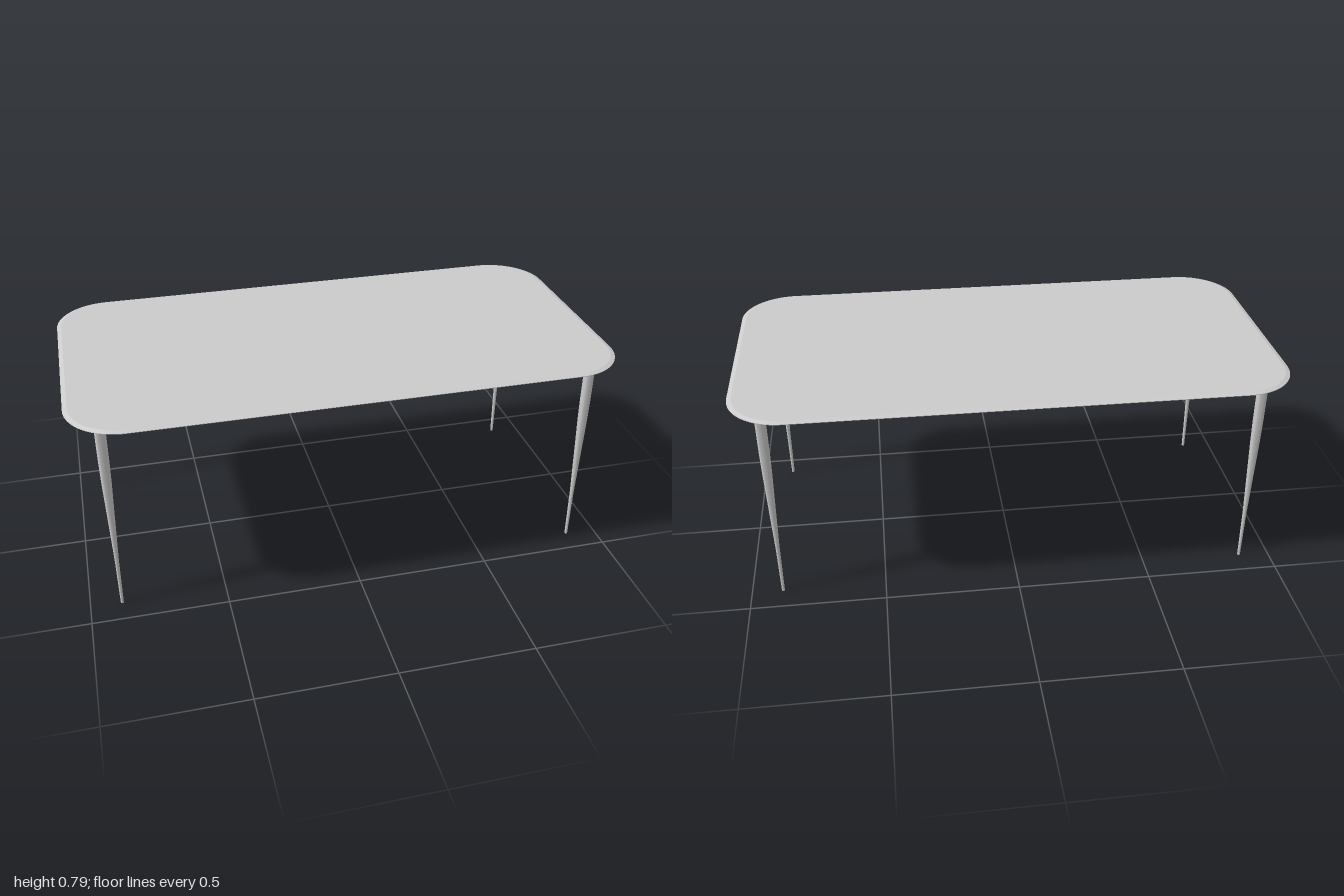
import * as THREE from 'three';
import { toCreasedNormals } from 'three/addons/utils/BufferGeometryUtils.js';

const material = new THREE.MeshStandardMaterial({ color: 0xcccccc });

// Rounded rectangle centred on the origin
function roundedRect(hw, hh, r) {
  const s = new THREE.Shape();
  s.absarc(hw - r, hh - r, r, 0, Math.PI / 2);
  s.absarc(-hw + r, hh - r, r, Math.PI / 2, Math.PI);
  s.absarc(-hw + r, -hh + r, r, Math.PI, Math.PI * 1.5);
  s.absarc(hw - r, -hh + r, r, Math.PI * 1.5, Math.PI * 2);
  s.closePath();
  return s;
}

export function createModel() {
  const model = new THREE.Group();
  model.name = 'table';

  // Thin top with a chamfer above and below its edge
  const bottom = 0.781, thickness = 0.012, chamfer = 0.005, inset = 0.016;
  const slab = new THREE.ExtrudeGeometry(roundedRect(1, 0.521, 0.2), {
    depth: thickness - 2 * chamfer,
    curveSegments: 16,
    bevelEnabled: true,
    bevelSegments: 1,
    bevelThickness: chamfer,
    bevelSize: inset,
    bevelOffset: -inset,
  });
  slab.rotateX(-Math.PI / 2);
  slab.translate(0, bottom + chamfer, 0);
  const top = new THREE.Mesh(toCreasedNormals(slab, 0.2), material);
  top.name = 'tableTop';
  model.add(top);

  // Slender turned legs: straight above, tapering to a fine foot
  const profile = [
    [0, 0], [0.0055, 0], [0.0075, 0.2], [0.0135, 0.4],
    [0.0175, 0.53], [0.019, 0.62], [0.0195, bottom + 0.002], [0, bottom + 0.002],
  ].map(([r, y]) => new THREE.Vector2(r, y));
  const legGeometry = toCreasedNormals(new THREE.LatheGeometry(profile, 24), 0.6);
  for (const x of [-1, 1]) {
    for (const z of [-1, 1]) {
      const leg = new THREE.Mesh(legGeometry, material);
      leg.name = (z > 0 ? 'front' : 'back') + (x > 0 ? 'Left' : 'Right') + 'Leg';
      leg.position.set(x * 0.885, 0, z * 0.408);
      model.add(leg);
    }
  }
  return model;
}
